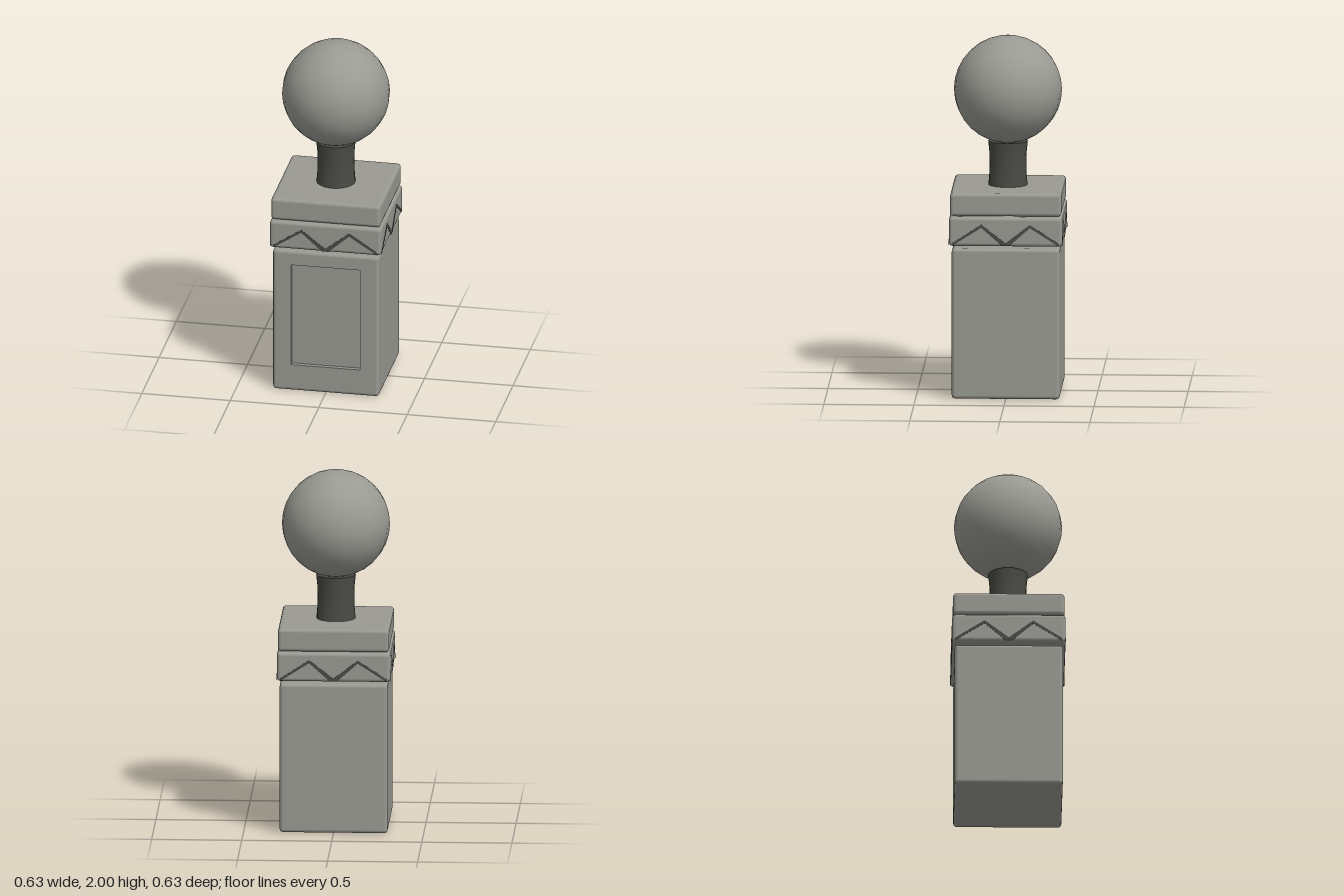
import * as THREE from 'three';
import { RoundedBoxGeometry } from 'three/addons/geometries/RoundedBoxGeometry.js';

const HALF = 0.3, ROUND = 0.02;

export function createModel() {
  const stone = new THREE.MeshStandardMaterial({ color: 0x9a9a93 });
  stone.name = 'stone';
  const dark = new THREE.MeshStandardMaterial({ color: 0x4a4a45 });
  dark.name = 'dark stone';

  const model = new THREE.Group();
  model.name = 'ballFinialPost';
  const add = (parent, name, geometry, material, x = 0, y = 0, z = 0) => {
    const mesh = new THREE.Mesh(geometry, material);
    mesh.name = name;
    mesh.position.set(x, y, z);
    parent.add(mesh);
    return mesh;
  };
  const slab = (name, width, y0, y1) =>
    add(model, name, new RoundedBoxGeometry(width, y1 - y0, width, 2, ROUND), stone, 0, (y0 + y1) / 2);

  // Pedestal: rounded block whose flat front is left open for the recessed panel
  const y0 = 0.003, y1 = 0.85;
  const block = new RoundedBoxGeometry(HALF * 2, y1 - y0, HALF * 2, 2, ROUND).toNonIndexed();
  const p = block.attributes.position, n = block.attributes.normal;
  const positions = [], normals = [];
  for (let i = 0; i < p.count; i += 3) {
    if ([0, 1, 2].every((k) => p.getZ(i + k) > HALF - 1e-4)) continue;
    for (let k = i; k < i + 3; k++) {
      positions.push(p.getX(k), p.getY(k), p.getZ(k));
      normals.push(n.getX(k), n.getY(k), n.getZ(k));
    }
  }
  const shell = new THREE.BufferGeometry();
  shell.setAttribute('position', new THREE.Float32BufferAttribute(positions, 3));
  shell.setAttribute('normal', new THREE.Float32BufferAttribute(normals, 3));
  add(model, 'pedestal', shell, stone, 0, (y0 + y1) / 2);

  // Front frame around the panel
  const rect = (Type, l, b, r, t) =>
    new Type([[l, b], [r, b], [r, t], [l, t]].map(([x, y]) => new THREE.Vector2(x, y)));
  const px = 0.195, pb = 0.16, pt = 0.765, depth = 0.025;
  const frame = rect(THREE.Shape, -HALF + ROUND, y0 + ROUND, HALF - ROUND, y1 - ROUND);
  frame.holes.push(rect(THREE.Path, -px, pb, px, pt));
  add(model, 'frontFrame', new THREE.ShapeGeometry(frame), stone, 0, 0, HALF);

  // Recessed panel floor and its four walls
  const recess = new THREE.Group();
  recess.name = 'frontPanel';
  model.add(recess);
  const ph = pt - pb, pm = (pt + pb) / 2, wz = HALF - depth / 2;
  add(recess, 'panelFloor', new THREE.PlaneGeometry(px * 2, ph), stone, 0, pm, HALF - depth);
  for (const s of [-1, 1]) {
    add(recess, 'panelSide', new THREE.PlaneGeometry(depth, ph), stone, s * px, pm, wz)
      .rotation.y = -s * Math.PI / 2;
    add(recess, 'panelEnd', new THREE.PlaneGeometry(px * 2, depth), stone, 0, pm + s * ph / 2, wz)
      .rotation.x = s * Math.PI / 2;
  }

  // Collar and cap slabs
  slab('collar', 0.63, 0.866, 1.03);
  slab('cap', 0.618, 1.034, 1.163);

  // Zigzag inlay on each side of the collar
  const upper = [[-0.295, 0.885], [-0.135, 0.99], [0, 0.886], [0.135, 0.99], [0.295, 0.885]];
  const lower = [[0.295, 0.87], [0.135, 0.972], [0.02, 0.87], [-0.02, 0.87], [-0.135, 0.972], [-0.295, 0.87]];
  const zigzag = new THREE.Shape([...upper, ...lower].map(([x, y]) => new THREE.Vector2(x, y)));
  const inlay = new THREE.ExtrudeGeometry(zigzag, { depth: 0.003, bevelEnabled: false });
  inlay.translate(0, 0, 0.3135);
  for (let i = 0; i < 4; i++) {
    add(model, 'zigzagInlay', inlay, dark).rotation.y = i * Math.PI / 2;
  }

  // Waisted neck
  const neck = [[0, 1.16], [0.109, 1.16], [0.104, 1.22], [0.102, 1.285], [0.104, 1.35], [0.11, 1.41]];
  add(model, 'neck', new THREE.LatheGeometry(neck.slice(1).map(([r, y]) => new THREE.Vector2(r, y)), 24), dark);
  add(model, 'neckTop', new THREE.CircleGeometry(0.11, 24), dark, 0, 1.41).rotation.x = -Math.PI / 2;

  // Ball finial
  add(model, 'ball', new THREE.SphereGeometry(0.3, 24, 16), stone, 0, 1.7);

  return model;
}
